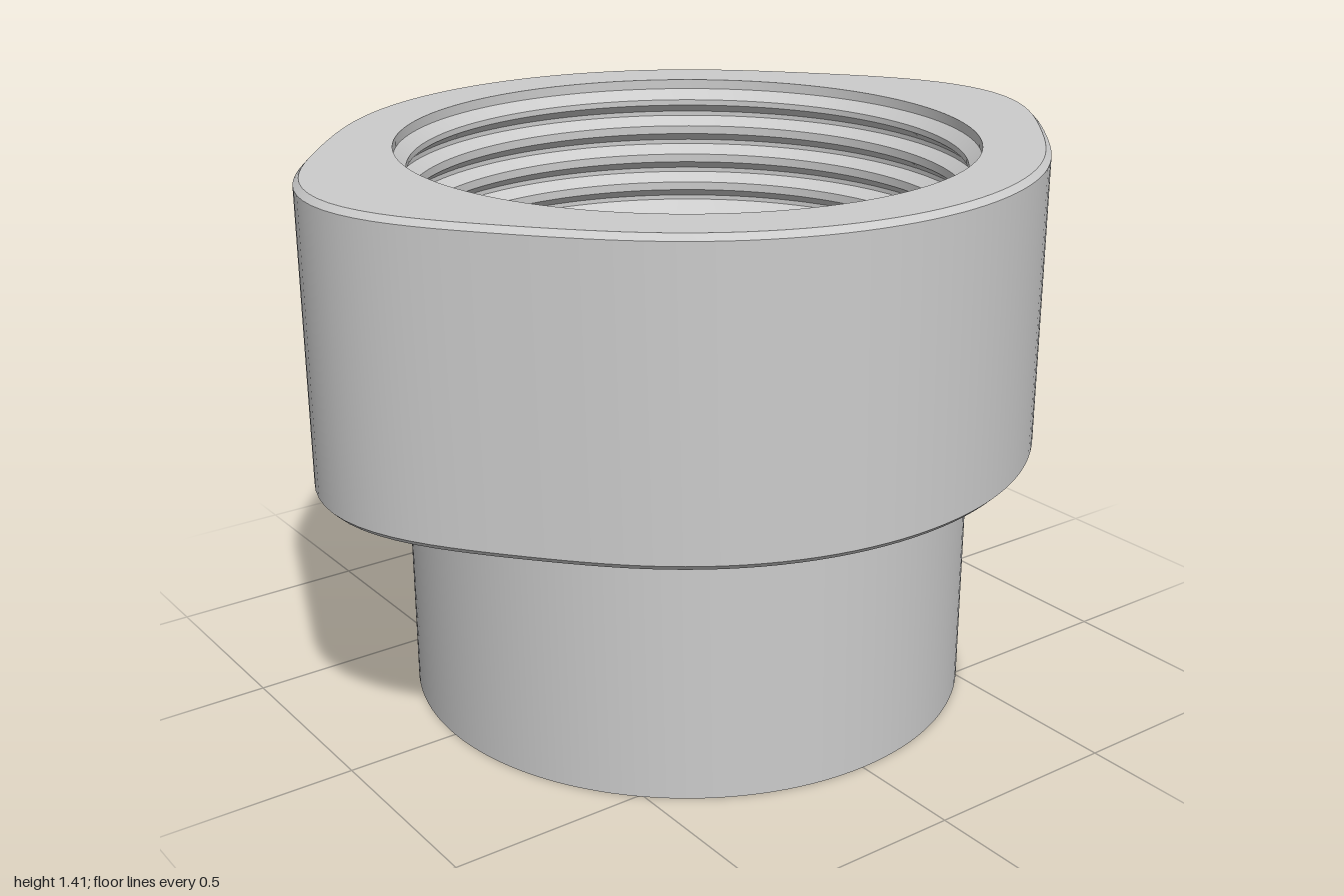
import * as THREE from 'three';
import { toCreasedNormals } from 'three/addons/utils/BufferGeometryUtils.js';

const SEGMENTS = 128;
const HOLE = 0.375, FLOOR = 1.03, TOP = 1.41, COLLAR_BASE = 0.66;

// Revolve a [radius, y] profile; radii past the neck swell into two side lobes
function revolve(name, profile, lobed = false) {
  const points = profile.map(([r, y]) => new THREE.Vector2(r, y));
  const geometry = new THREE.LatheGeometry(points, SEGMENTS);
  if (lobed) {
    const p = geometry.attributes.position;
    for (let i = 0; i < p.count; i++) {
      const x = p.getX(i), z = p.getZ(i), r = Math.hypot(x, z);
      if (r < 0.8) continue;
      const k = 1 + 0.13 * Math.pow(Math.abs(x / r), 12) / r;
      p.setX(i, x * k);
      p.setZ(i, z * k);
    }
  }
  const mesh = new THREE.Mesh(
    toCreasedNormals(geometry, 0.4),
    new THREE.MeshStandardMaterial({ color: 0xcccccc })
  );
  mesh.name = name;
  return mesh;
}

export function createModel() {
  const group = new THREE.Group();
  group.name = 'threadedFitting';

  // Neck: shallow recess underneath, round hole through the middle
  group.add(revolve('neck', [
    [HOLE, FLOOR], [HOLE, 0.09], [0.66, 0.09], [0.66, 0], [0.715, 0], [0.715, COLLAR_BASE],
  ]));

  // Collar: two-lobed outline with chamfered edges, open at the top
  const c = 0.014;
  group.add(revolve('collar', [
    [0.715, COLLAR_BASE], [0.87 - c, COLLAR_BASE], [0.87, COLLAR_BASE + c],
    [0.87, TOP - c], [0.87 - c, TOP], [0.71, TOP],
  ], true));

  // Threaded socket: lead-in, V-shaped grooves, then the flat floor
  const crest = 0.68, root = 0.71, pitch = 0.08;
  const socket = [[root, TOP], [root, TOP - 0.025], [crest, TOP - 0.05]];
  for (let i = 0; i < 4; i++) {
    const y = TOP - 0.05 - i * pitch;
    socket.push([crest, y - 0.015], [root, y - 0.038], [root, y - 0.05], [crest, y - 0.073]);
  }
  socket.push([0.655, FLOOR + 0.005], [0.655, FLOOR], [HOLE, FLOOR]);
  group.add(revolve('threadedSocket', socket));

  return group;
}
